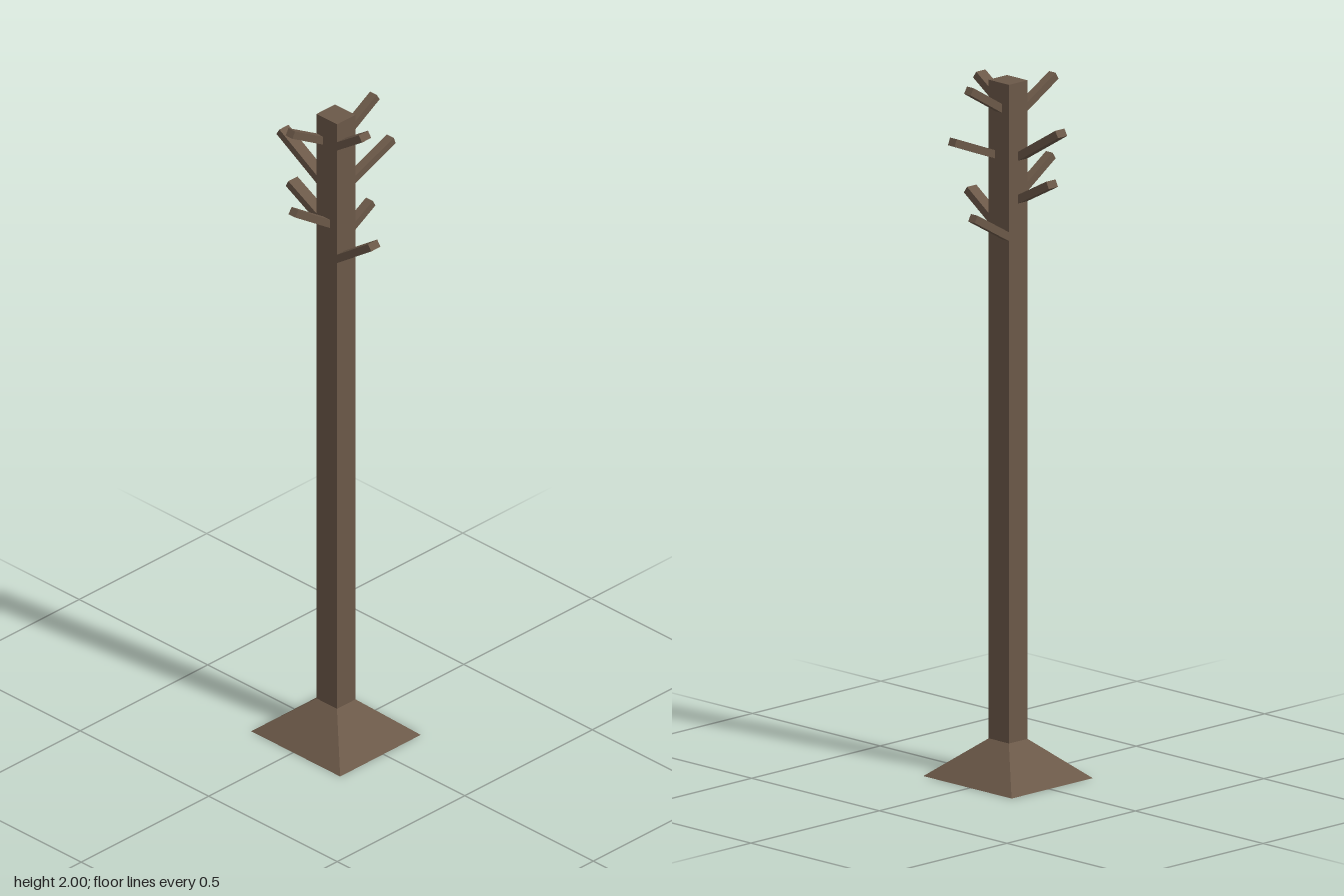
import * as THREE from 'three';

export function createModel() {
  const model = new THREE.Group();
  model.name = 'bareTree';
  const bark = new THREE.MeshStandardMaterial({ color: 0x6b5848, flatShading: true });
  bark.name = 'bark brown';

  const CX = -0.011, CZ = 0.01; // trunk axis
  const add = (name, geometry) => {
    const mesh = new THREE.Mesh(geometry, bark);
    mesh.name = name;
    model.add(mesh);
  };

  // Flared foot: four-sided frustum
  const foot = new THREE.CylinderGeometry(Math.SQRT2 * 0.229, Math.SQRT2, 1, 4);
  foot.rotateY(Math.PI / 4);
  foot.scale(0.158, 0.11, 0.173);
  foot.translate(CX, 0.055, CZ);
  add('foot', foot);

  // Square trunk
  const trunk = new THREE.BoxGeometry(0.072, 1.88, 0.08);
  trunk.translate(CX, 1.05, CZ);
  add('trunk', trunk);

  // Branch: square-cut bar whose lower edge runs from the trunk face to the tip.
  // root and tip are [distance outward, height]; side is its offset across.
  const THICK = 0.022, EMBED = 0.012;
  function branch(name, yaw, x, z, root, tip, width) {
    const dx = tip[0] - root[0], dy = tip[1] - root[1];
    const length = Math.hypot(dx, dy);
    const bar = new THREE.BoxGeometry(length + EMBED, THICK, width);
    bar.translate((length - EMBED) / 2, THICK / 2, 0);
    bar.rotateZ(Math.atan2(dy, dx));
    bar.translate(root[0], root[1], 0);
    bar.rotateY(yaw);
    bar.translate(x, 0, z);
    add(name, bar);
  }

  // Left (+x) branches
  branch('leftBranchTop', 0, 0, 0.01, [0.025, 1.905], [0.147, 1.977], 0.026);
  branch('leftBranchMiddle', 0, 0, 0.037, [0.025, 1.77], [0.183, 1.832], 0.026);
  branch('leftBranchLow', 0, 0, -0.017, [0.025, 1.544], [0.158, 1.62], 0.026);
  // Right (-x) branches
  branch('rightBranchTop', Math.PI, 0, -0.017, [0.047, 1.902], [0.168, 1.972], 0.026);
  branch('rightBranchLow', Math.PI, 0, 0.01, [0.047, 1.645], [0.184, 1.737], 0.026);
  // Front (+z) branches
  branch('frontBranchTop', -Math.PI / 2, -0.029, 0, [0.05, 1.906], [0.147, 1.972], 0.036);
  branch('frontBranchLow', -Math.PI / 2, -0.029, 0, [0.05, 1.544], [0.183, 1.637], 0.036);
  // Back (-z) branches
  branch('backBranchTop', Math.PI / 2, -0.029, 0, [0.03, 1.767], [0.186, 1.86], 0.036);
  branch('backBranchLow', Math.PI / 2, -0.029, 0, [0.03, 1.645], [0.15, 1.708], 0.036);

  return model;
}
